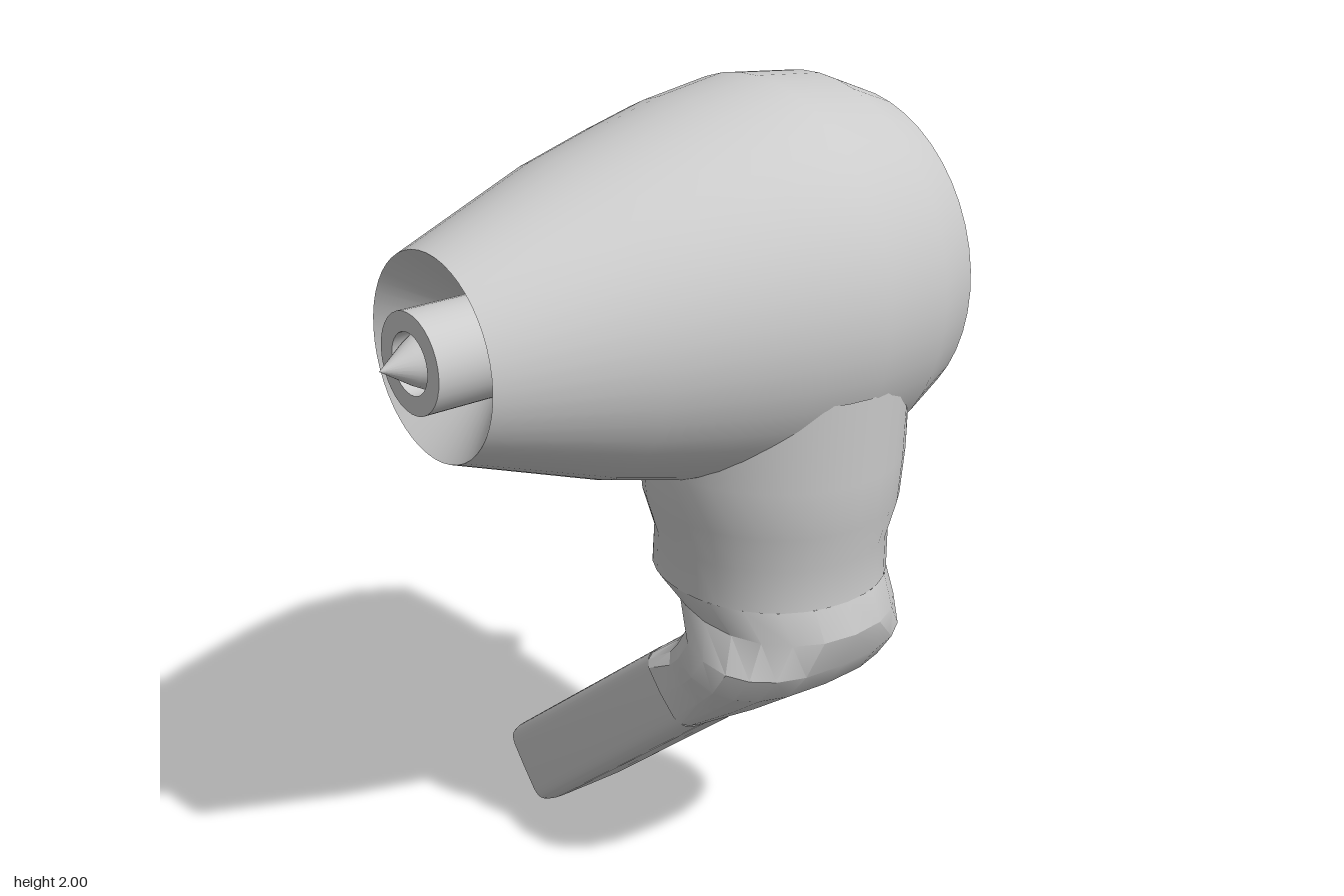
import * as THREE from 'three';
import { toCreasedNormals, mergeVertices } from 'three/addons/utils/BufferGeometryUtils.js';

const material = new THREE.MeshStandardMaterial({ color: 0xcccccc, side: THREE.DoubleSide });

// Surface of revolution about z; profile is [radius, z], rear to front on the outside
function turned(name, profile, segments = 40) {
  const g = new THREE.LatheGeometry(profile.map(([r, z]) => new THREE.Vector2(r, z)), segments);
  g.rotateX(Math.PI / 2);
  const mesh = new THREE.Mesh(toCreasedNormals(g, 0.5), material);
  mesh.name = name;
  mesh.position.set(0.095, 1.555, 0);
  return mesh;
}

// Loft through rings [leftX, leftY, rightX, rightY, frontZ, backZ, roundness], top to bottom
function loft(name, rings, crease, n = 32) {
  const pos = [], index = [];
  const bulge = (v, p) => Math.sign(v) * Math.pow(Math.abs(v), 2 / p);
  rings.forEach(([lx, ly, rx, ry, zf, zb, p], i) => {
    for (let j = 0; j < n; j++) {
      const t = (j / n) * Math.PI * 2;
      const u = bulge(Math.cos(t), p), w = bulge(Math.sin(t), p);
      pos.push((lx + rx) / 2 + ((rx - lx) / 2) * u, (ly + ry) / 2 + ((ry - ly) / 2) * u,
        (zf + zb) / 2 + ((zf - zb) / 2) * w);
      if (i < rings.length - 1) {
        const a = i * n + j, b = i * n + (j + 1) % n;
        index.push(a, b, a + n, b, b + n, a + n);
      }
    }
  });
  const g = new THREE.BufferGeometry();
  g.setAttribute('position', new THREE.Float32BufferAttribute(pos, 3));
  g.setIndex(index);
  const mesh = new THREE.Mesh(toCreasedNormals(mergeVertices(g), crease), material);
  mesh.name = name;
  return mesh;
}

export function createModel() {
  const model = new THREE.Group();
  model.name = 'hairDryer';

  // Barrel shell with a shallow rear intake and a funnel at the nozzle
  model.add(turned('barrel', [
    [0, -0.54], [0.23, -0.54], [0.285, -0.585], [0.373, -0.585], [0.425, -0.46],
    [0.445, -0.28], [0.42, -0.1], [0.387, 0.04], [0.34, 0.22], [0.22, 0.56],
    [0.1, 0.44], [0, 0.44],
  ], 48));

  // Rear spike in the intake
  model.add(turned('rearCone', [[0, -0.68], [0.09, -0.588], [0.13, -0.54]], 24));

  // Nozzle tube and the spike inside it
  model.add(turned('nozzleTube', [[0.108, 0.42], [0.108, 0.61], [0.066, 0.61], [0.066, 0.57], [0, 0.57]], 32));
  model.add(turned('nozzleCone', [[0.066, 0.57], [0.045, 0.61], [0, 0.68]], 24));

  // Round neck below the barrel
  model.add(loft('neck', [
    [-0.11, 1.4, 0.512, 1.4, 0.03, -0.55, 2],
    [-0.1, 1.2, 0.502, 1.2, 0.04, -0.56, 2],
    [-0.09, 1.09, 0.497, 1.09, 0.03, -0.55, 2],
    [-0.06, 1.0, 0.472, 1.0, 0.005, -0.53, 2],
    [-0.065, 0.9, 0.472, 0.9, 0.0, -0.525, 2.1],
  ], 0.9));

  // Angular folded elbow that narrows into the handle
  model.add(loft('elbow', [
    [-0.065, 0.9, 0.472, 0.9, 0.0, -0.525, 2.1],
    [0.02, 0.845, 0.49, 0.82, -0.03, -0.52, 2.2],
    [0.115, 0.78, 0.46, 0.73, 0.0, -0.54, 2.5],
    [0.1, 0.74, 0.41, 0.66, 0.005, -0.54, 2.6],
    [0.06, 0.69, 0.29, 0.57, -0.03, -0.5, 3],
    [0.02, 0.645, 0.175, 0.5, -0.03, -0.36, 5],
  ], 0.45, 20));

  // Slanted rectangular handle with softened edges and end
  model.add(loft('handle', [
    [0.02, 0.645, 0.175, 0.5, -0.035, -0.36, 6],
    [-0.53, 0.178, -0.384, 0.013, -0.022, -0.337, 7],
    [-0.545, 0.162, -0.402, 0.002, -0.025, -0.334, 7],
    [-0.537, 0.148, -0.415, 0.006, -0.042, -0.318, 7],
    [-0.476, 0.077, -0.476, 0.077, -0.18, -0.18, 7],
  ], 0.8, 40));

  return model;
}
